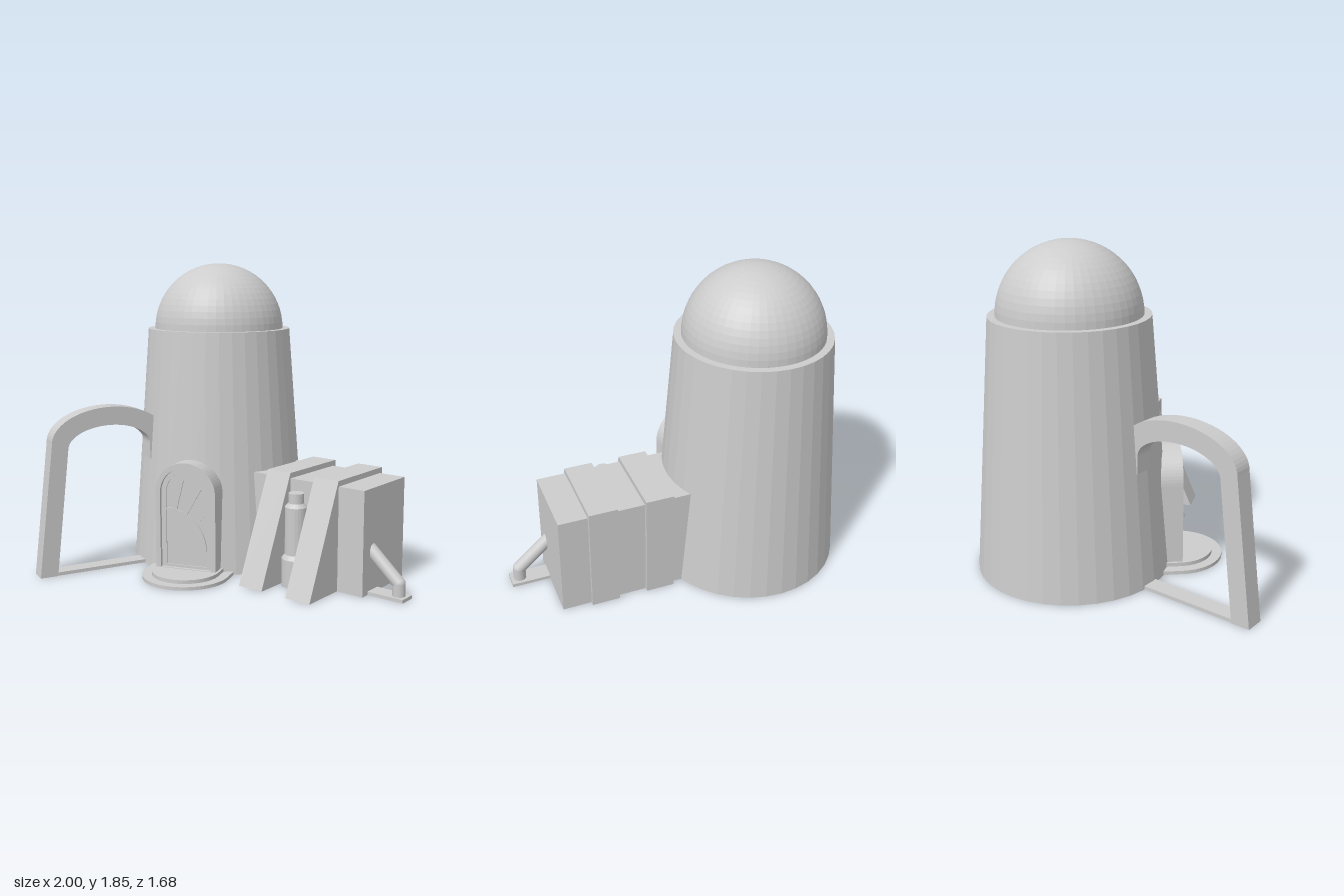
import * as THREE from 'three';

const stone = new THREE.MeshStandardMaterial({ color: 0xcccccc, side: THREE.DoubleSide });
stone.name = 'paleStone';
stone.flatShading = true;
const smooth = new THREE.MeshStandardMaterial({ color: 0xcccccc, side: THREE.DoubleSide });
smooth.name = 'paleStoneSmooth';

function add(parent, name, geo, x = 0, y = 0, z = 0, mat = stone) {
  const m = new THREE.Mesh(geo, mat);
  m.name = name;
  m.position.set(x, y, z);
  parent.add(m);
  return m;
}

// Removes the faces lying on the given level, leaving a hollow shell
function openBottom(geo, level) {
  const g = geo.index ? geo.toNonIndexed() : geo;
  const p = g.attributes.position, out = [];
  for (let i = 0; i < p.count; i += 3) {
    if ([0, 1, 2].every(k => Math.abs(p.getY(i + k) - level) < 1e-4)) continue;
    for (let k = 0; k < 3; k++) out.push(p.getX(i + k), p.getY(i + k), p.getZ(i + k));
  }
  const r = new THREE.BufferGeometry();
  r.setAttribute('position', new THREE.Float32BufferAttribute(out, 3));
  r.computeVertexNormals();
  return r;
}

function extrude(shape, depth) {
  return new THREE.ExtrudeGeometry(shape, { depth, bevelEnabled: false, curveSegments: 16 });
}

function polygon(points) {
  return new THREE.Shape(points.map(([x, y]) => new THREE.Vector2(x, y)));
}

// Upright round-headed outline
function archOutline(w, bottom, top, Type = THREE.Shape) {
  const s = new Type();
  s.moveTo(-w, bottom);
  s.lineTo(w, bottom);
  s.lineTo(w, top - w);
  s.absarc(0, top - w, w, 0, Math.PI, false);
  s.lineTo(-w, bottom);
  return s;
}

function archRing(w, bottom, top, rim) {
  const s = archOutline(w, bottom, top);
  s.holes.push(archOutline(w - rim, bottom + rim * 0.5, top - rim, THREE.Path));
  return s;
}

function buildTower(root) {
  const tower = new THREE.Group();
  tower.name = 'tower';
  tower.position.set(-0.45, 0, -0.29);
  root.add(tower);
  add(tower, 'towerWall', new THREE.CylinderGeometry(0.443, 0.55, 1.445, 36, 1, true), 0, 0.7225, 0);
  const ledge = new THREE.RingGeometry(0.395, 0.443, 36).rotateX(-Math.PI / 2).rotateY(Math.PI / 2);
  add(tower, 'towerLedge', ledge, 0, 1.445, 0);
  add(tower, 'dome', new THREE.SphereGeometry(0.4, 48, 16, 0, Math.PI * 2, 0, Math.PI / 2), 0, 1.445, 0);
  return tower;
}

function buildArch(tower) {
  const arch = new THREE.Group();
  arch.name = 'flyingArch';
  arch.rotation.y = THREE.MathUtils.degToRad(-113.7);
  tower.add(arch);
  // Leaning leg, half-elliptical head and a short stub against the wall
  const s = new THREE.Shape();
  s.moveTo(1.107, 0);
  s.lineTo(1.213, 0);
  s.lineTo(1.118, 0.8);
  s.absellipse(0.757, 0.8, 0.361, 0.2, 0, Math.PI, false, 0);
  s.lineTo(0.396, 0.66);
  s.lineTo(0.503, 0.66);
  s.lineTo(0.503, 0.76);
  s.absellipse(0.762, 0.76, 0.259, 0.13, Math.PI, 0, true, 0);
  s.lineTo(1.107, 0);
  add(arch, 'archRib', extrude(s, 0.11), 0, 0, -0.055);
  add(arch, 'archFootStrip', new THREE.BoxGeometry(0.61, 0.02, 0.1), 0.815, 0.01, 0);
}

function buildDoorway(tower) {
  const door = new THREE.Group();
  door.name = 'doorway';
  door.rotation.y = THREE.MathUtils.degToRad(20);
  tower.add(door);

  // Two rounded steps
  [[0.262, 0, 0.02], [0.205, 0.02, 0.022]].forEach(([r, y, h], i) => {
    const s = new THREE.Shape();
    s.moveTo(-r, -0.47);
    s.lineTo(-r, -0.59);
    s.absarc(0, -0.59, r, Math.PI, Math.PI * 2, false);
    s.lineTo(r, -0.47);
    add(door, i ? 'upperStep' : 'lowerStep', extrude(s, h).rotateX(-Math.PI / 2), 0, y, 0);
  });

  add(door, 'doorFrame', extrude(archRing(0.19, 0.03, 0.69, 0.03), 0.17), 0, 0, 0.43);
  add(door, 'doorPanel', extrude(archOutline(0.165, 0.04, 0.665), 0.12), 0, 0, 0.45);
  add(door, 'doorRim', extrude(archRing(0.16, 0.045, 0.66, 0.03), 0.008), 0, 0, 0.57);

  // Curved bar and radiating glazing bars
  const cx = -0.13, cy = 0.155;
  const bar = new THREE.Shape();
  bar.absarc(cx, cy, 0.255, 0, Math.PI / 2, false);
  bar.absarc(cx, cy, 0.24, Math.PI / 2, 0, true);
  add(door, 'curvedBar', extrude(bar, 0.008), 0, 0, 0.57);
  for (const deg of [76, 60, 42]) {
    const a = THREE.MathUtils.degToRad(deg), r = deg === 42 ? 0.3 : 0.345;
    const m = add(door, 'glazingBar', new THREE.BoxGeometry((r - 0.25) * 2, 0.012, 0.008),
      cx + r * Math.cos(a), cy + r * Math.sin(a), 0.574);
    m.rotation.z = a;
  }
}

function buildAnnex(root) {
  const annex = new THREE.Group();
  annex.name = 'annex';
  root.add(annex);
  add(annex, 'annexBlock', openBottom(new THREE.BoxGeometry(0.79, 0.613, 0.445), -0.3065), 0.38, 0.3065, -0.292);

  // Buttress bands wrapping the block, sloped at the front
  const profile = polygon([[0.54, 0], [0.54, 0.645], [0.067, 0.645], [-0.207, 0]]);
  for (const x of [0.11, 0.442]) {
    const g = extrude(profile, 0.165).rotateY(Math.PI / 2);
    add(annex, 'buttress', openBottom(g, 0), x, 0, 0);
  }

  // Stepped tank between the buttresses
  const pts = [[0.083, 0], [0.083, 0.165], [0.065, 0.19], [0.065, 0.47], [0.045, 0.492], [0.045, 0.55], [0, 0.55]];
  add(annex, 'tank', new THREE.LatheGeometry(pts.map(p => new THREE.Vector2(...p)), 24), 0.357, 0, -0.012);

  // Drain pipe with a flat base
  const px = 0.945, pz = -0.178, r = 0.037;
  add(annex, 'pipeBase', new THREE.BoxGeometry(0.235, 0.02, 0.107), 0.8825, 0.01, pz);
  add(annex, 'pipeFoot', new THREE.CylinderGeometry(r, r, 0.08, 20), px, 0.05, pz, smooth);
  add(annex, 'pipeElbow', new THREE.SphereGeometry(r, 20, 12), px, 0.09, pz, smooth);
  const slope = new THREE.LineCurve3(new THREE.Vector3(px, 0.09, pz), new THREE.Vector3(0.75, 0.263, pz));
  add(annex, 'pipeSlope', new THREE.TubeGeometry(slope, 1, r, 20), 0, 0, 0, smooth);
}

export function createModel() {
  const root = new THREE.Group();
  root.name = 'domedTowerHouse';
  const tower = buildTower(root);
  buildArch(tower);
  buildDoorway(tower);
  buildAnnex(root);
  return root;
}
